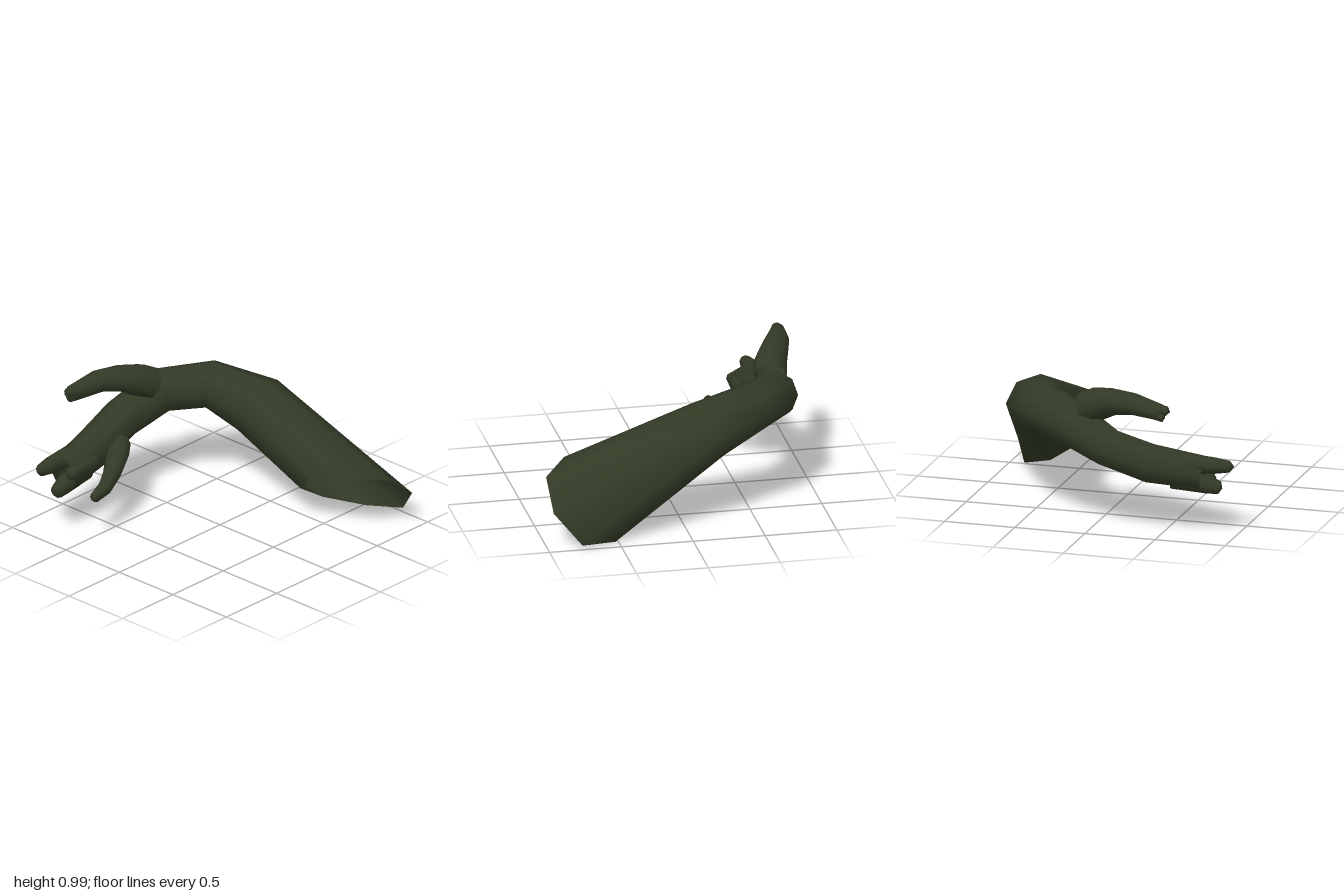
import * as THREE from 'three';

const SIDES = 8;

// Skins a tube over rings [x, y, z, sideRadius, upRadius?]; tip > 0 closes the far end.
function limb(name, rings, material, { tip = 0, firstRing = null } = {}) {
  const centers = rings.map(r => new THREE.Vector3(r[0], r[1], r[2]));
  const up0 = new THREE.Vector3(0, 1, 0);
  const pos = [], index = [];
  const dir = new THREE.Vector3();
  rings.forEach((r, i) => {
    const prev = centers[Math.max(i - 1, 0)], next = centers[Math.min(i + 1, rings.length - 1)];
    dir.subVectors(next, prev).normalize();
    const side = new THREE.Vector3().crossVectors(dir, up0).normalize();
    const up = new THREE.Vector3().crossVectors(side, dir);
    for (let j = 0; j < SIDES; j++) {
      if (i === 0 && firstRing) { pos.push(...firstRing[j]); continue; }
      const a = j / SIDES * Math.PI * 2;
      const p = centers[i].clone()
        .addScaledVector(side, Math.cos(a) * r[3])
        .addScaledVector(up, Math.sin(a) * (r[4] ?? r[3]));
      pos.push(p.x, p.y, p.z);
    }
  });
  for (let i = 0; i < rings.length - 1; i++) {
    for (let j = 0; j < SIDES; j++) {
      const a = i * SIDES + j, b = i * SIDES + (j + 1) % SIDES;
      index.push(a, a + SIDES, b, b, a + SIDES, b + SIDES);
    }
  }
  if (tip) {
    const last = (rings.length - 1) * SIDES;
    const p = centers.at(-1).clone().addScaledVector(dir, tip);
    pos.push(p.x, p.y, p.z);
    for (let j = 0; j < SIDES; j++) index.push(last + j, last + SIDES, last + (j + 1) % SIDES);
  }
  const g = new THREE.BufferGeometry();
  g.setAttribute('position', new THREE.Float32BufferAttribute(pos, 3));
  g.setIndex(index);
  g.computeVertexNormals();
  const mesh = new THREE.Mesh(g, material);
  mesh.name = name;
  return mesh;
}

export function createModel() {
  const group = new THREE.Group();
  group.name = 'bentBranch';
  const bark = new THREE.MeshStandardMaterial({ color: 0x323a26, side: THREE.DoubleSide });
  bark.name = 'darkOliveBark';

  // Slanted open end of the thick branch
  const cutEnd = [
    [0.77, 0.03, -1], [0.95, 0.24, -0.9], [0.955, 0.42, -0.67], [0.78, 0.46, -0.43],
    [0.53, 0.42, -0.34], [0.35, 0.24, -0.43], [0.34, 0.09, -0.66], [0.52, 0, -0.9],
  ];
  // Thick branch, bending forward and narrowing
  group.add(limb('mainBranch', [
    [0.65, 0.24, -0.67, 0.32],
    [-0.19, 0.64, -0.575, 0.23, 0.21],
    [-0.52, 0.73, -0.455, 0.185, 0.165],
    [-0.74, 0.705, -0.19, 0.16],
    [-0.82, 0.57, 0.11, 0.14],
    [-0.79, 0.475, 0.4, 0.14],
    [-0.735, 0.425, 0.76, 0.125, 0.12],
  ], bark, { tip: -0.05, firstRing: cutEnd }));

  // Three blunt prongs at the front end
  group.add(limb('upperProng', [
    [-0.79, 0.5, 0.6, 0.07], [-0.78, 0.495, 0.85, 0.06], [-0.775, 0.495, 0.96, 0.042],
  ], bark, { tip: 0.035 }));
  group.add(limb('lowerProng', [
    [-0.75, 0.375, 0.55, 0.08], [-0.725, 0.34, 0.78, 0.065], [-0.71, 0.32, 0.87, 0.048],
  ], bark, { tip: 0.02 }));
  group.add(limb('sideProng', [
    [-0.68, 0.46, 0.55, 0.06], [-0.655, 0.45, 0.75, 0.053], [-0.645, 0.445, 0.8, 0.04],
  ], bark, { tip: 0.02 }));

  // Arched twig on top, ending in two nubs
  group.add(limb('upperTwig', [
    [-0.73, 0.8, -0.08, 0.115],
    [-0.75, 0.855, 0.02, 0.115],
    [-0.8, 0.893, 0.14, 0.1, 0.095],
    [-0.86, 0.907, 0.3, 0.08],
    [-0.905, 0.875, 0.52, 0.05, 0.06],
  ], bark, { tip: -0.02 }));
  group.add(limb('upperTwigNub', [
    [-0.9, 0.9, 0.45, 0.035], [-0.905, 0.89, 0.55, 0.036],
  ], bark, { tip: 0.03 }));
  group.add(limb('lowerTwigNub', [
    [-0.905, 0.86, 0.45, 0.035], [-0.915, 0.845, 0.53, 0.034],
  ], bark, { tip: 0.015 }));

  // Small twig curving down beside the prongs
  group.add(limb('sideTwig', [
    [-0.7, 0.475, 0.26, 0.08],
    [-0.62, 0.455, 0.36, 0.08],
    [-0.545, 0.39, 0.49, 0.065],
    [-0.495, 0.335, 0.62, 0.05],
    [-0.47, 0.315, 0.75, 0.035],
  ], bark, { tip: 0.025 }));

  return group;
}
